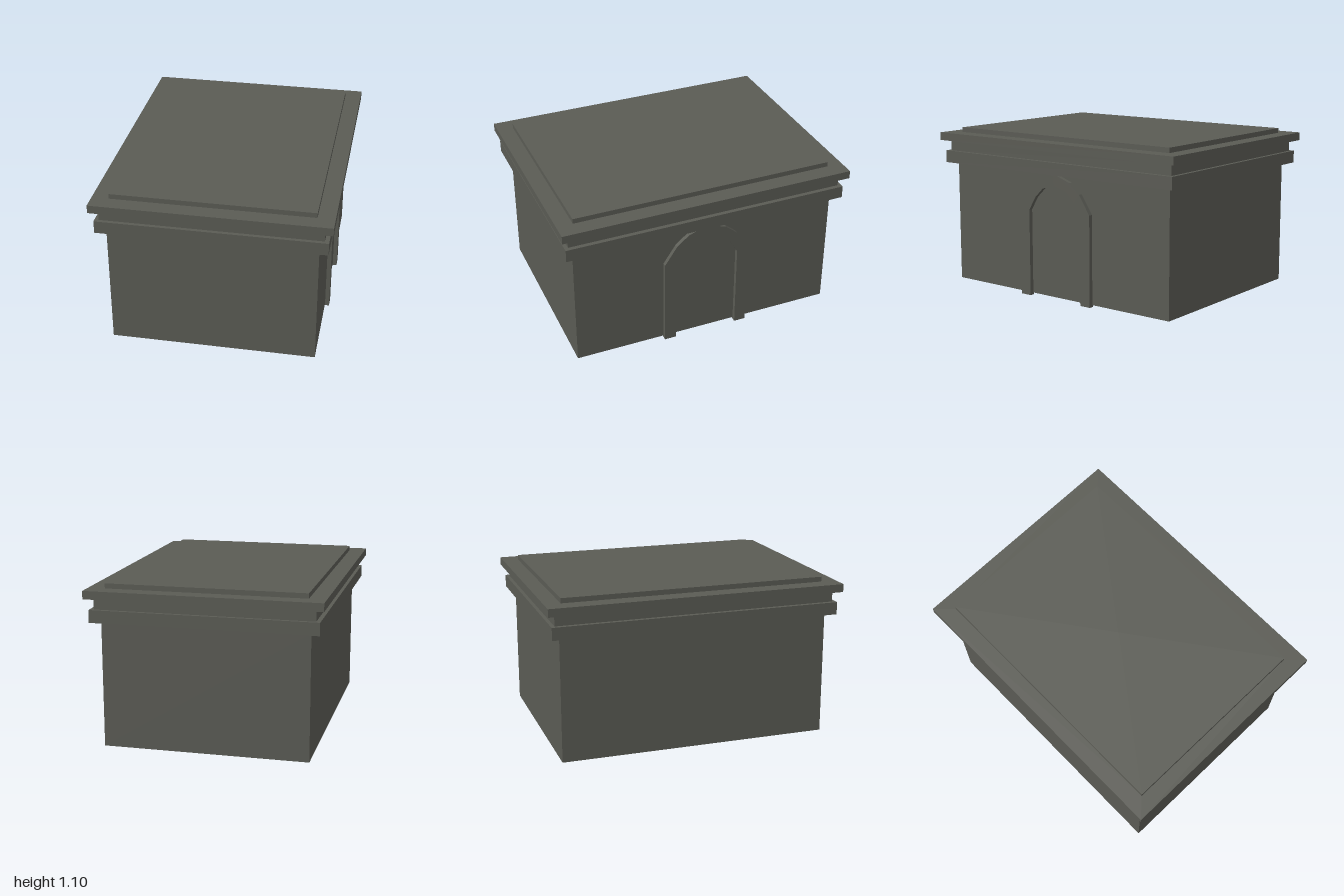
import * as THREE from 'three';

const stone = new THREE.MeshStandardMaterial({ color: 0x5a5b54, side: THREE.DoubleSide });
stone.name = 'darkStone';

// Thin four-sided shell following a profile of [half width, half depth, height] rings
function rectShell(name, rings) {
  const pos = [];
  const corner = ([w, d, y], i) => {
    const [sx, sz] = [[1, 1], [1, -1], [-1, -1], [-1, 1]][i % 4];
    return [sx * w, y, sz * d];
  };
  for (let r = 0; r < rings.length - 1; r++) {
    for (let i = 0; i < 4; i++) {
      const a = corner(rings[r], i), b = corner(rings[r], i + 1);
      const c = corner(rings[r + 1], i + 1), d = corner(rings[r + 1], i);
      pos.push(...a, ...b, ...c, ...a, ...c, ...d);
    }
  }
  const geo = new THREE.BufferGeometry();
  geo.setAttribute('position', new THREE.Float32BufferAttribute(pos, 3));
  geo.computeVertexNormals();
  const mesh = new THREE.Mesh(geo, stone);
  mesh.name = name;
  return mesh;
}

// Raised arched door surround, a closed solid on the left wall
function doorSurround() {
  const outer = [[0.3, 0], [0.3, 0.615], [0.215, 0.742], [0.133, 0.81], [0, 0.857]];
  const inner = [[0.22, 0], [0.22, 0.593], [0.166, 0.684], [0.097, 0.751], [0, 0.775]];
  const mirror = (half) => [
    ...half, ...half.slice(0, -1).reverse().map(([z, y]) => [-z, y]),
  ];
  const outline = [...mirror(outer), ...mirror(inner).reverse()];
  const shape = new THREE.Shape(outline.map(([z, y]) => new THREE.Vector2(z, y)));
  const geo = new THREE.ExtrudeGeometry(shape, { depth: 0.034, bevelEnabled: false });
  geo.rotateY(Math.PI / 2).translate(0.676, 0, 0);
  const mesh = new THREE.Mesh(geo, stone);
  mesh.name = 'doorSurround';
  return mesh;
}

export function createModel() {
  const model = new THREE.Group();
  model.name = 'stoneBuilding';
  model.add(
    // Hollow walls, open at the bottom
    rectShell('walls', [[0.682, 0.914, 0.013], [0.682, 0.914, 0.854]]),
    // Lower moulding
    rectShell('lowerMoulding', [
      [0.682, 0.914, 0.854], [0.744, 0.973, 0.854], [0.744, 0.973, 0.938], [0.716, 0.949, 0.938],
    ]),
    // Recessed band between the mouldings
    rectShell('frieze', [[0.716, 0.949, 0.938], [0.716, 0.949, 1.012]]),
    // Projecting cornice
    rectShell('cornice', [
      [0.716, 0.949, 1.012], [0.771, 1, 1.012], [0.771, 1, 1.066], [0.659, 0.892, 1.066],
    ]),
    // Raised flat roof
    rectShell('roof', [[0.659, 0.892, 1.066], [0.659, 0.892, 1.099], [0, 0, 1.099]]),
    doorSurround(),
  );
  return model;
}
